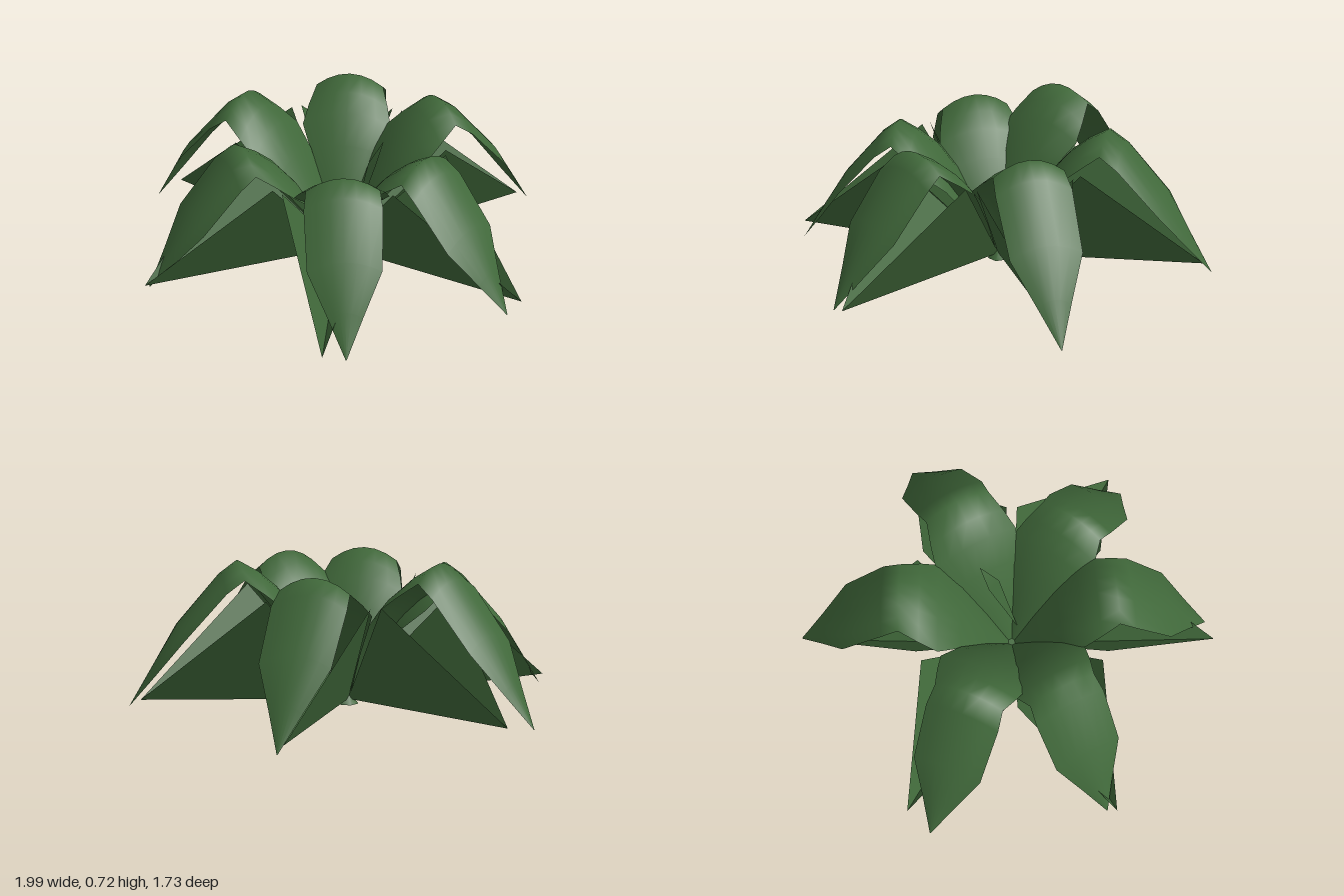
import * as THREE from 'three';

const leafGreen = new THREE.MeshStandardMaterial({ color: 0x40683a, side: THREE.DoubleSide });
leafGreen.name = 'leafGreen';

function surface(name, points, index) {
  const geo = new THREE.BufferGeometry();
  geo.setAttribute('position', new THREE.Float32BufferAttribute(points, 3));
  if (index) geo.setIndex(index);
  geo.computeVertexNormals();
  const mesh = new THREE.Mesh(geo, leafGreen);
  mesh.name = name;
  return mesh;
}

// Cross-sections along a leaf: distance out, half width, height, drop at the edges
const SECTIONS = [
  [0.01, 0.01, 0.03, 0],
  [0.12, 0.085, 0.26, 0.02],
  [0.23, 0.16, 0.45, 0.04],
  [0.33, 0.21, 0.575, 0.07],
  [0.41, 0.19, 0.645, 0.075],
  [0.50, 0.16, 0.70, 0.065],
  [0.58, 0.17, 0.64, 0.06],
  [0.77, 0.16, 0.42, 0.05],
  [0.89, 0.075, 0.23, 0.03],
  [1.00, 0.002, 0.05, 0],
];

// Arching leaf, curved across its width
function archedLeaf(reach, peak) {
  const cols = 6, points = [], index = [];
  SECTIONS.forEach(([r, w, y, drop], i) => {
    for (let j = 0; j <= cols; j++) {
      const s = (j / cols) * 2 - 1;
      points.push(r * reach, (y - drop * s * s) * peak / 0.7, -s * w);
      if (i && j) {
        const d = i * (cols + 1) + j, b = d - cols - 1;
        index.push(b - 1, d - 1, b, b, d - 1, d);
      }
    }
  });
  return surface('archedLeaf', points, index);
}

// Two flat panels folded up from a straight keel
function foldedLeaf() {
  const base = [0, 0.02, 0], tip = [0.97, 0.08, 0];
  const left = [0.43, 0.55, -0.22], right = [0.43, 0.55, 0.22];
  return surface('foldedLeaf', [...base, ...tip, ...left, ...base, ...right, ...tip]);
}

export function createModel() {
  const plant = new THREE.Group();
  plant.name = 'leafyPlant';
  const rosette = new THREE.Group();
  rosette.name = 'rosette';
  rosette.position.x = -0.02;
  plant.add(rosette);

  // Arched leaves: heading in degrees, reach, peak height
  const leaves = [
    [1, 1.02, 0.70], [65, 0.95, 0.66], [114, 0.94, 0.66],
    [182, 0.94, 0.65], [232, 1.01, 0.72], [301, 1.01, 0.69],
  ];
  leaves.forEach(([heading, reach, peak], i) => {
    const leaf = archedLeaf(reach, peak);
    leaf.rotation.y = -THREE.MathUtils.degToRad(heading);
    rosette.add(leaf);

    // Evenly spaced folded leaf beneath
    const fold = foldedLeaf();
    fold.rotation.y = -i * Math.PI / 3;
    rosette.add(fold);
  });

  // Small sprout resting inside the rosette
  const sprout = surface('sprout', [
    0.03, 0.12, 0.05, 0.17, 0.44, 0.03, 0.16, 0.42, -0.03, 0.24, 0.52, -0.03,
  ], [0, 1, 2, 2, 1, 3]);
  rosette.add(sprout);

  // Root crown on the ground
  const crown = new THREE.Mesh(new THREE.CylinderGeometry(0.02, 0.05, 0.04, 6), leafGreen);
  crown.name = 'rootCrown';
  crown.position.y = 0.02;
  rosette.add(crown);

  return plant;
}
